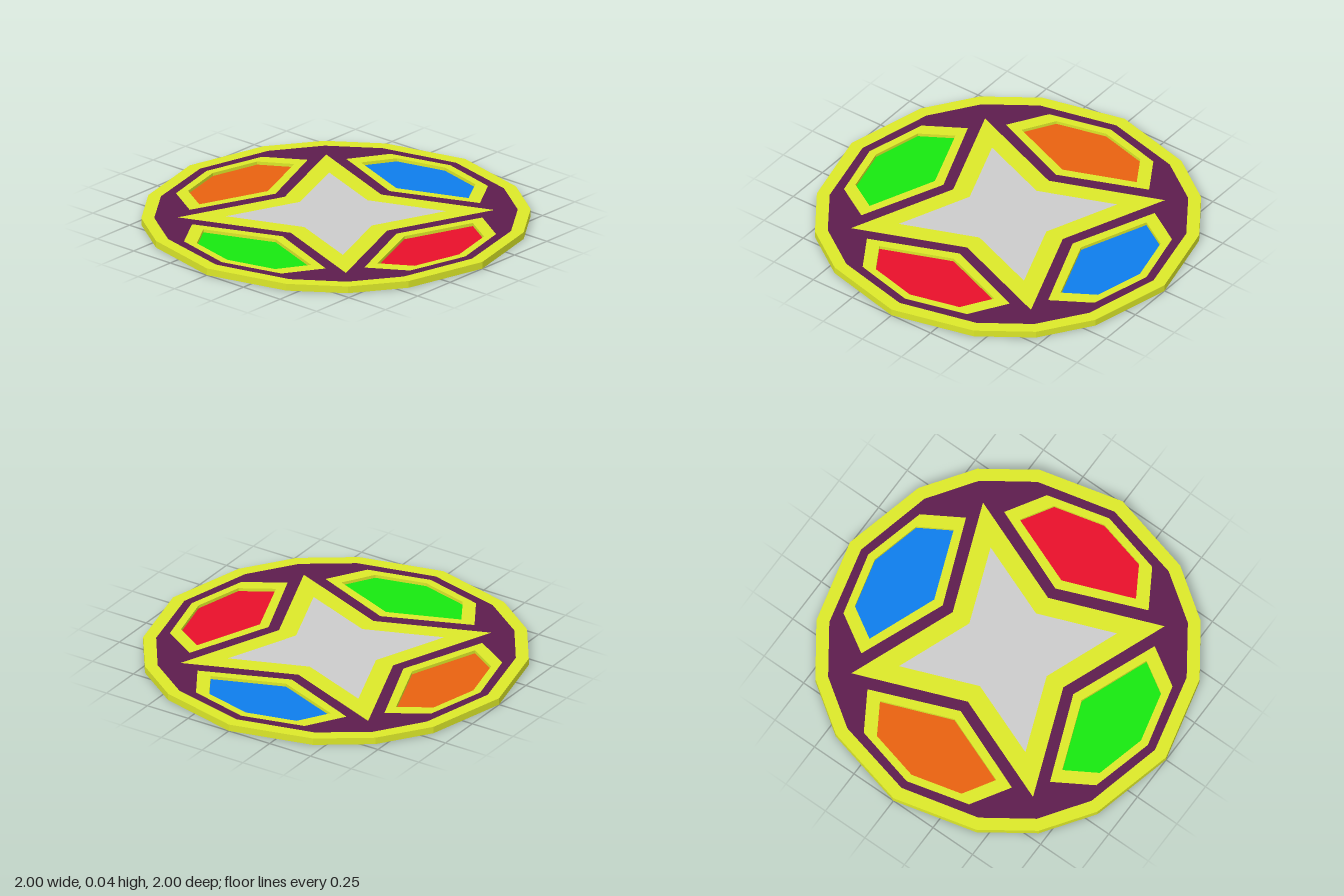
import * as THREE from 'three';

const TOP = 0.037;      // overall thickness
const BED = 0.008;      // backing plates under the gems and star
const GEM_TOP = 0.02;   // gems sit below the frame tops

const mat = (color) => new THREE.MeshStandardMaterial({ color, flatShading: true });

// Repeats one quarter of an outline four times around the centre
function fourfold(quarter) {
  const pts = [];
  for (let k = 0; k < 4; k++) {
    for (const [x, y] of quarter) {
      pts.push(new THREE.Vector2(x, y).rotateAround(new THREE.Vector2(), k * Math.PI / 2));
    }
  }
  return pts;
}

// Mirrors half a gem outline: inner point, wide corner, outer corner, outer point
function gemOutline(inner, wide, corner, outer) {
  return [[inner, 0], [wide[0], -wide[1]], [corner[0], -corner[1]], [outer, 0], corner, wide]
    .map(([x, y]) => new THREE.Vector2(x, y));
}

// Flat slab lying on the ground plane between two heights
function slab(name, outline, holes, y0, y1, material) {
  const shape = new THREE.Shape(outline);
  shape.holes = holes.map((h) => new THREE.Path(h));
  const geo = new THREE.ExtrudeGeometry(shape, { depth: y1 - y0, bevelEnabled: false });
  geo.rotateX(-Math.PI / 2).translate(0, y0, 0);
  const mesh = new THREE.Mesh(geo, material);
  mesh.name = name;
  return mesh;
}

export function createModel() {
  const model = new THREE.Group();
  model.name = 'medallion';
  const gold = mat(0xdce829), purple = mat(0x5d1c4d);

  const rimOuter = fourfold([[1, 0], [0.89, 0.445], [0.707, 0.707], [0.445, 0.89]]);
  const rimInner = fourfold([[0.93, 0], [0.83, 0.415], [0.66, 0.66], [0.415, 0.83]]);
  const starOuter = fourfold([[0.35, 0], [0.575, 0.575]]);
  const starInner = fourfold([[0.245, 0], [0.4, 0.4]]);
  const frameOuter = gemOutline(0.413, [0.597, 0.457], [0.8, 0.333], 0.885);
  const frameInner = gemOutline(0.467, [0.61, 0.368], [0.775, 0.268], 0.842);

  // Rim and field, with openings for the star and the four gem frames
  const openings = [starOuter];
  for (let k = 0; k < 4; k++) {
    openings.push(frameOuter.map((p) => p.clone().rotateAround(new THREE.Vector2(), k * Math.PI / 2)));
  }
  model.add(slab('rim', rimOuter, [rimInner], 0, TOP, gold));
  model.add(slab('field', rimInner, openings, 0, TOP, purple));

  // Central star
  model.add(slab('starFrame', starOuter, [starInner], 0, TOP, gold));
  model.add(slab('starBacking', starInner, [], 0, BED, purple));
  model.add(slab('starInlay', starInner, [], BED, TOP, mat(0xcccccc)));

  // Framed gems, turned around the centre
  const gems = [['left', 0x0e7dec], ['back', 0xe86110], ['right', 0x17e810], ['front', 0xe8102a]];
  gems.forEach(([side, color], k) => {
    const group = new THREE.Group();
    group.name = side + 'GemSetting';
    group.add(slab('gemFrame', frameOuter, [frameInner], 0, TOP, gold));
    group.add(slab('gemBacking', frameInner, [], 0, BED, purple));
    group.add(slab('gem', frameInner, [], BED, GEM_TOP, mat(color)));
    group.rotation.y = k * Math.PI / 2;
    model.add(group);
  });

  return model;
}
